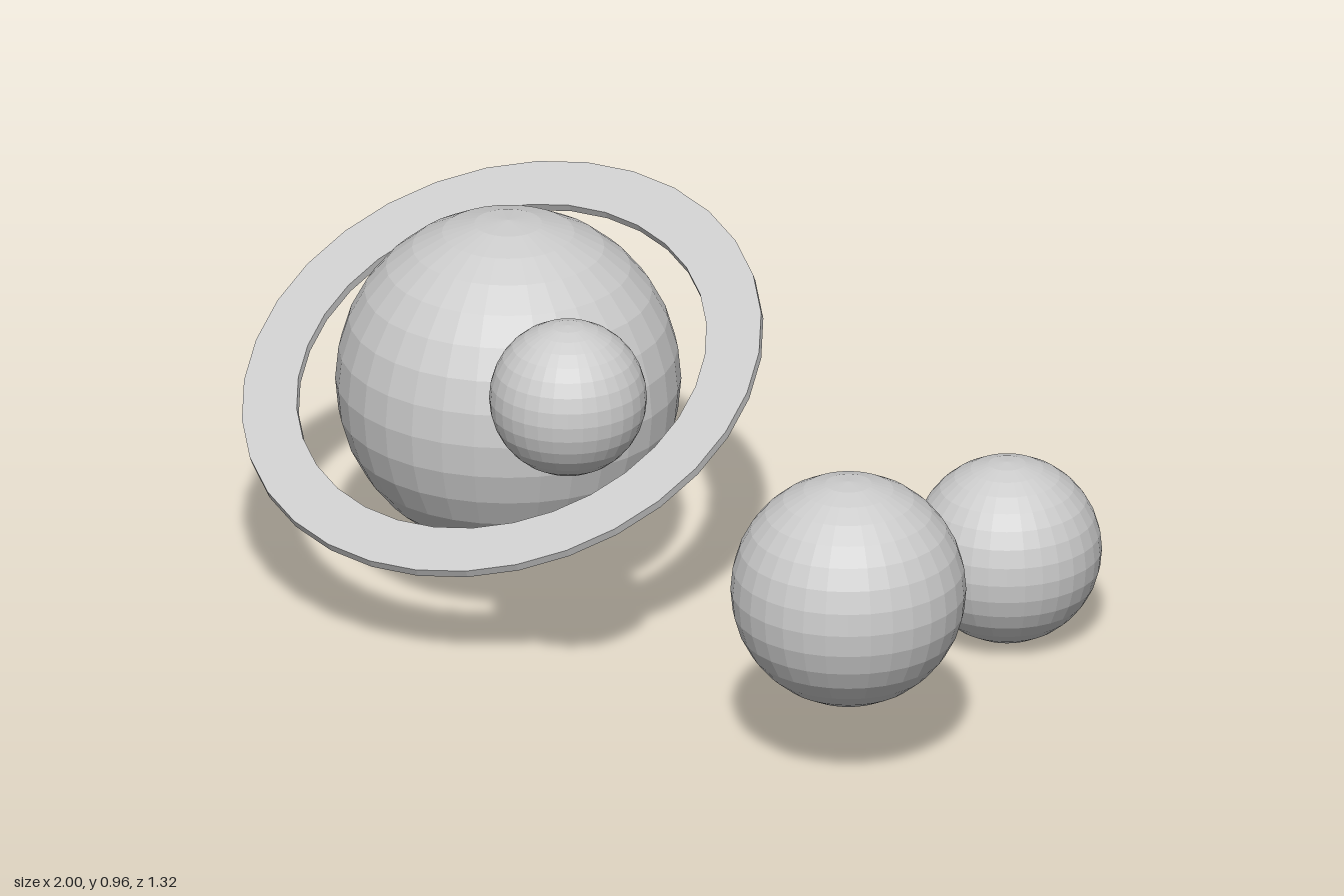
import * as THREE from 'three';

const material = new THREE.MeshStandardMaterial({ color: 0xcccccc, flatShading: true });

// Faceted ball
function ball(name, radius, x, y, z) {
  const mesh = new THREE.Mesh(new THREE.SphereGeometry(radius, 32, 16), material);
  mesh.name = name;
  mesh.position.set(x, y, z);
  return mesh;
}

// Flat annulus with a rectangular section
function annulus(name, inner, outer, thickness) {
  const h = thickness / 2;
  const section = [[inner, -h], [outer, -h], [outer, h], [inner, h], [inner, -h]]
    .map(([x, y]) => new THREE.Vector2(x, y));
  const mesh = new THREE.Mesh(new THREE.LatheGeometry(section, 32), material);
  mesh.name = name;
  return mesh;
}

export function createModel() {
  const model = new THREE.Group();
  model.name = 'planets';

  // Large ringed planet
  model.add(ball('ringedPlanet', 0.377, -0.405, 0.5, -0.058));

  // Ring, dipping towards the front and slightly to the left
  const ring = annulus('planetRing', 0.46, 0.583, 0.02);
  ring.position.set(-0.419, 0.518, -0.057);
  ring.rotation.set(THREE.MathUtils.degToRad(28), 0, THREE.MathUtils.degToRad(-1.6));
  model.add(ring);

  // Three smaller bodies
  model.add(
    ball('smallPlanet', 0.172, 0.118, 0.786, 0.487),
    ball('mediumPlanet', 0.207, 0.638, 0.207, -0.453),
    ball('largePlanet', 0.257, 0.74, 0.421, 0.318)
  );
  return model;
}
